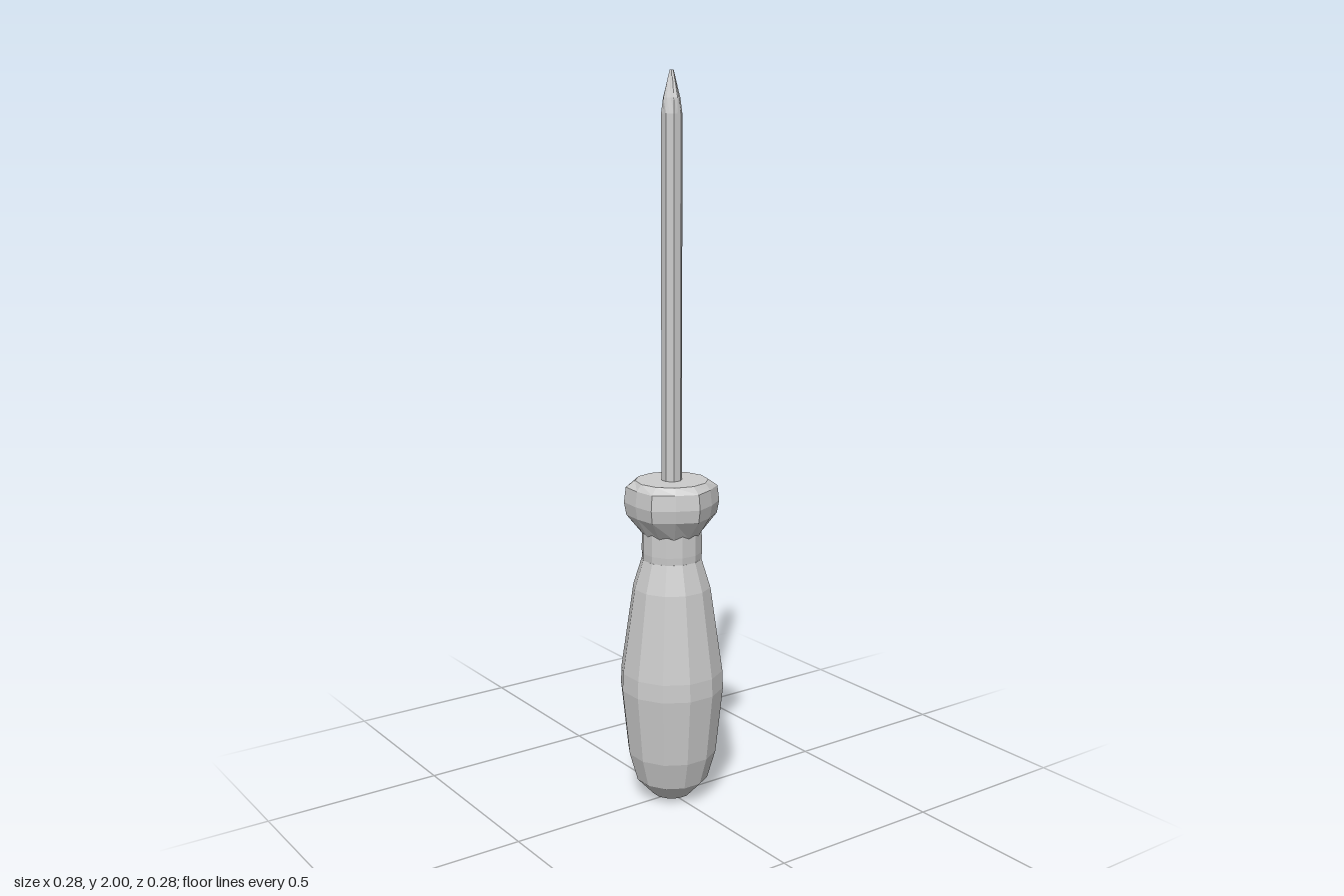
import * as THREE from 'three';

const material = new THREE.MeshStandardMaterial({ color: 0xcccccc, flatShading: true });

// Faceted turned part; the optional rule reshapes the radius by angle from +z and height
function turned(name, profile, sides, offset = 0, rule = null) {
  const points = profile.map(([r, y]) => new THREE.Vector2(r, y));
  const geometry = new THREE.LatheGeometry(points, sides, offset);
  if (rule) {
    const p = geometry.attributes.position;
    for (let i = 0; i < p.count; i++) {
      const k = rule(Math.atan2(p.getX(i), p.getZ(i)), p.getY(i));
      p.setXYZ(i, p.getX(i) * k, p.getY(i), p.getZ(i) * k);
    }
  }
  const flat = geometry.toNonIndexed();
  flat.computeVertexNormals();
  const mesh = new THREE.Mesh(flat, material);
  mesh.name = name;
  return mesh;
}

export function createModel() {
  const group = new THREE.Group();
  group.name = 'screwdriver';

  // Bulging twelve-sided grip with a blunt, rounded base
  group.add(turned('grip', [
    [0, 0], [0.055, 0.01], [0.102, 0.06], [0.125, 0.14], [0.145, 0.33],
    [0.143, 0.38], [0.108, 0.62], [0.083, 0.7], [0, 0.7],
  ], 12, Math.PI / 12));

  // Narrow neck
  group.add(turned('neck', [
    [0.082, 0.69], [0.084, 0.72], [0.083, 0.79],
  ], 12, Math.PI / 12));

  // Flared collar, softly hexagonal with flats facing front and back
  group.add(turned('collar', [
    [0, 0.765], [0.08, 0.77], [0.119, 0.825], [0.125, 0.86], [0.12, 0.902],
    [0.1, 0.92], [0, 0.92],
  ], 12, 0, (a, y) => (y > 0.8 && y < 0.91 ? 1 - 0.045 * Math.cos(6 * a) : 1)));

  // Octagonal shaft
  group.add(turned('shaft', [[0.0285, 0.9], [0.0285, 1.89]], 8, Math.PI / 8));

  // Tapered cross tip: four ribs with flutes cut between them
  group.add(turned('crossTip', [
    [0.0285, 1.89], [0.026, 1.93], [0.011, 1.985], [0.006, 2], [0, 2],
  ], 16, Math.PI / 8, (a, y) => {
    const cut = THREE.MathUtils.smoothstep(y, 1.88, 1.97) * 0.4;
    const facet = y < 1.9 && Math.round(a / (Math.PI / 8)) % 2 === 0 ? Math.cos(Math.PI / 8) : 1;
    return facet * (1 - cut * (1 - Math.cos(4 * a)) / 2);
  }));

  return group;
}
